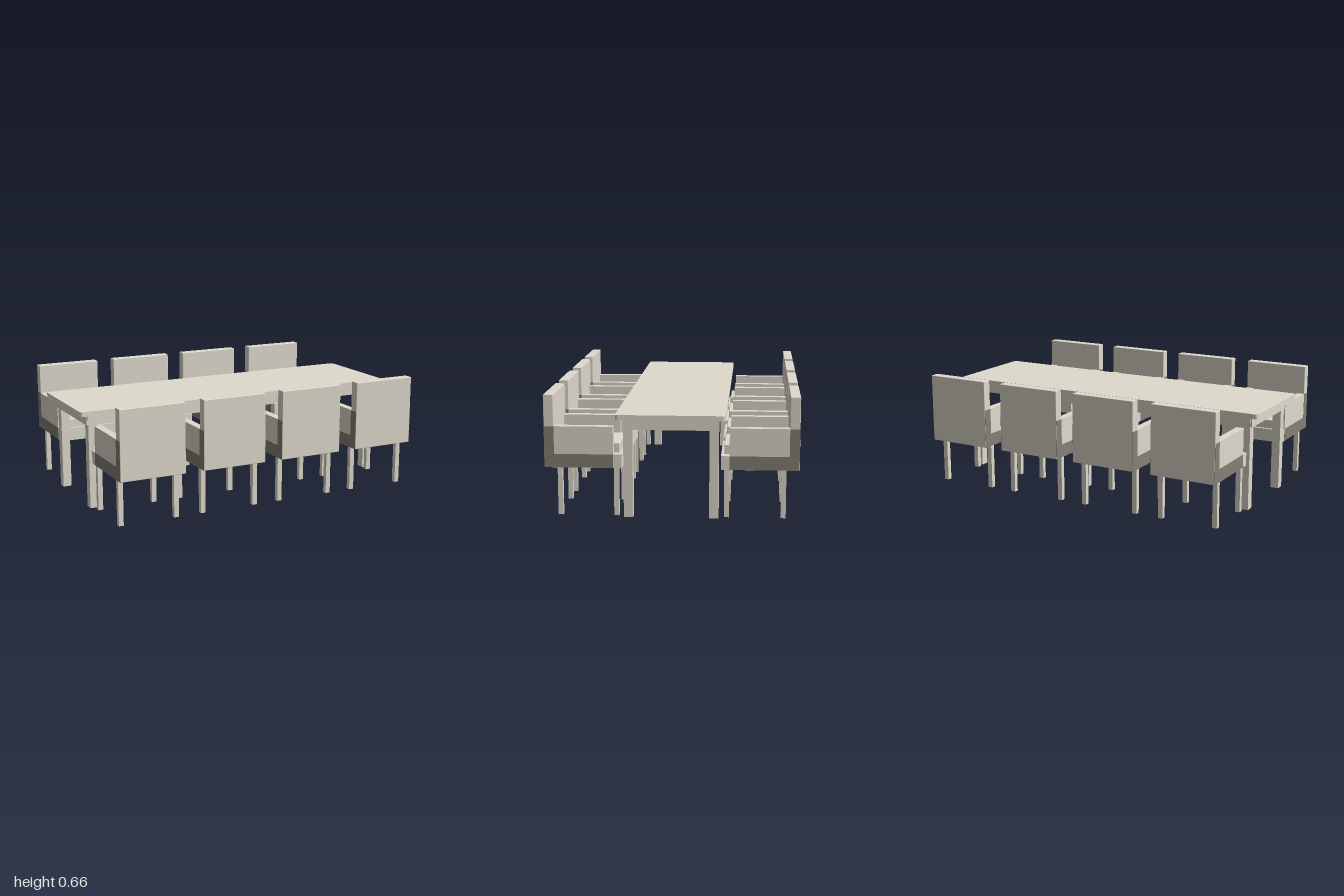
import * as THREE from 'three';
import { RoundedBoxGeometry } from 'three/addons/geometries/RoundedBoxGeometry.js';

const light = new THREE.MeshStandardMaterial({ color: 0xdfdacd });
light.name = 'light warm grey';
const dark = new THREE.MeshStandardMaterial({ color: 0x857f75 });
dark.name = 'dark warm grey';

// Box given by its min and max on each axis; optional softened edges.
function box(parent, name, [x0, x1], [y0, y1], [z0, z1], { radius = 0, material = light } = {}) {
  const size = [x1 - x0, y1 - y0, z1 - z0];
  const geometry = radius
    ? new RoundedBoxGeometry(...size, 2, radius)
    : new THREE.BoxGeometry(...size);
  const mesh = new THREE.Mesh(geometry, material);
  mesh.name = name;
  mesh.position.set((x0 + x1) / 2, (y0 + y1) / 2, (z0 + z1) / 2);
  parent.add(mesh);
}

function createTable() {
  const table = new THREE.Group();
  table.name = 'table';

  // Tabletop with slightly rounded corners
  const w = 1, d = 0.292, r = 0.015;
  const outline = new THREE.Shape();
  outline.absarc(w - r, d - r, r, 0, Math.PI / 2);
  outline.absarc(-w + r, d - r, r, Math.PI / 2, Math.PI);
  outline.absarc(-w + r, -d + r, r, Math.PI, Math.PI * 1.5);
  outline.absarc(w - r, -d + r, r, Math.PI * 1.5, Math.PI * 2);
  const top = new THREE.Mesh(
    new THREE.ExtrudeGeometry(outline, { depth: 0.027, bevelEnabled: false, curveSegments: 4 }), light);
  top.name = 'tabletop';
  top.rotation.x = -Math.PI / 2;
  top.position.y = 0.543;
  table.add(top);

  // Solid apron block and corner legs
  box(table, 'apron', [-0.95, 0.95], [0.481, 0.543], [-0.249, 0.249]);
  for (const x of [-0.918, 0.918]) {
    for (const z of [-0.23, 0.23]) {
      box(table, 'tableLeg', [x - 0.025, x + 0.025], [0, 0.543], [z - 0.025, z + 0.025]);
    }
  }
  return table;
}

// Chair centred on x = 0, its back towards +z
function createChair() {
  const chair = new THREE.Group();
  chair.name = 'chair';
  box(chair, 'seatBase', [-0.191, 0.191], [0.265, 0.34], [0.266, 0.64]);
  box(chair, 'seatCushion', [-0.139, 0.139], [0.335, 0.393], [0.282, 0.562], { radius: 0.005 });
  box(chair, 'backrest', [-0.191, 0.191], [0.265, 0.662], [0.631, 0.685], { radius: 0.003 });

  // Dark seat deck showing around the cushion, with an oval pad behind it
  box(chair, 'seatDeck', [-0.148, 0.148], [0.338, 0.342], [0.312, 0.632], { material: dark });
  const pad = new THREE.Mesh(new THREE.CylinderGeometry(1, 1, 0.004, 24), light);
  pad.name = 'rearPad';
  pad.scale.set(0.125, 1, 0.03);
  pad.position.set(0, 0.343, 0.6);
  chair.add(pad);

  for (const s of [-1, 1]) {
    const span = (a, b) => (s > 0 ? [a, b] : [-b, -a]);
    box(chair, 'armrest', span(0.147, 0.191), [0.335, 0.491], [0.312, 0.64]);
    // Dark L-shaped side panels where arm, base and back meet
    box(chair, 'lowerSidePanel', span(0.19, 0.192), [0.266, 0.34], [0.312, 0.684], { material: dark });
    box(chair, 'rearSidePanel', span(0.19, 0.192), [0.34, 0.49], [0.631, 0.684], { material: dark });
    for (const z of [0.297, 0.602]) {
      box(chair, 'chairLeg', span(0.15, 0.178), [0, 0.27], [z - 0.0135, z + 0.0135]);
    }
  }
  return chair;
}

export function createModel() {
  const model = new THREE.Group();
  model.name = 'diningSet';
  model.add(createTable());

  // Four chairs along each long side, facing the table
  for (const x of [-0.738, -0.247, 0.243, 0.736]) {
    for (const turn of [0, Math.PI]) {
      const chair = createChair();
      chair.position.x = x;
      chair.rotation.y = turn;
      model.add(chair);
    }
  }
  return model;
}
